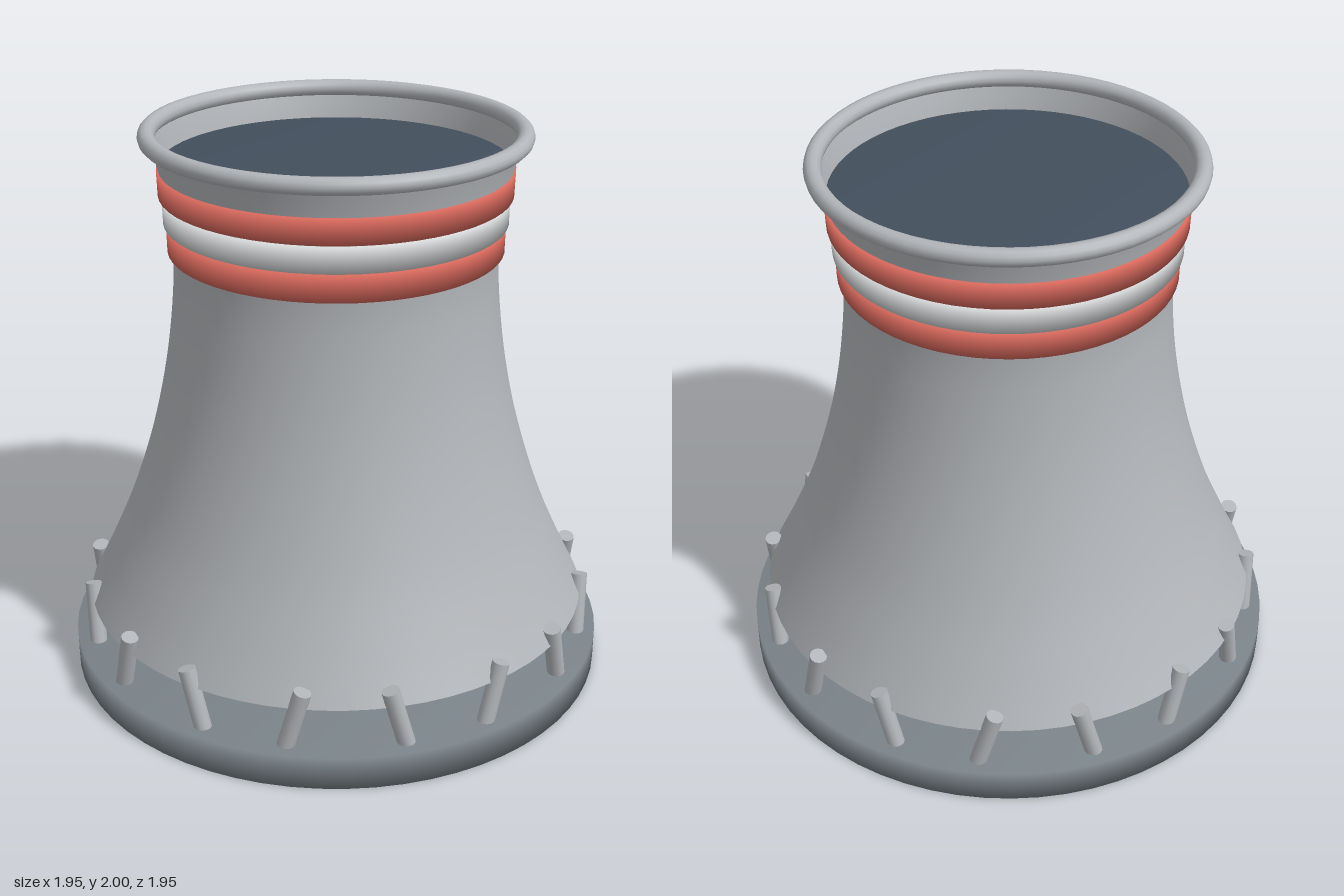
import * as THREE from 'three';
import { mergeVertices } from 'three/addons/utils/BufferGeometryUtils.js';

const mat = (name, color, side = THREE.FrontSide) => {
  const m = new THREE.MeshStandardMaterial({ color, side });
  m.name = name;
  return m;
};

// Solid cylinder whose normals run smoothly over its edges
function softCylinder(rTop, rBottom, height) {
  const g = new THREE.CylinderGeometry(rTop, rBottom, height, 64);
  g.deleteAttribute('normal');
  g.deleteAttribute('uv');
  const merged = mergeVertices(g, 1e-4);
  merged.computeVertexNormals();
  return merged;
}

export function createModel() {
  const group = new THREE.Group();
  group.name = 'coolingTower';

  const concrete = mat('concrete', 0xb2b5b9, THREE.DoubleSide);
  const foundation = mat('foundationGrey', 0x7a8389);
  const red = mat('bandRed', 0xdb6a5e);
  const white = mat('bandWhite', 0xd8dadb);
  const dark = mat('darkInterior', 0x434f5d);

  const add = (name, geometry, material, y = 0, parent = group) => {
    const mesh = new THREE.Mesh(geometry, material);
    mesh.name = name;
    mesh.position.y = y;
    parent.add(mesh);
    return mesh;
  };

  // Round foundation slab
  add('base', softCylinder(0.975, 0.975, 0.12), foundation, 0.06);

  // Waisted shell, open at both ends
  const profile = new THREE.SplineCurve([
    [0.912, 0.265], [0.845, 0.4], [0.757, 0.6], [0.688, 0.8], [0.634, 1.0],
    [0.595, 1.2], [0.571, 1.4], [0.565, 1.55], [0.577, 1.7], [0.605, 1.86], [0.63, 1.96],
  ].map(([r, y]) => new THREE.Vector2(r, y)));
  add('shell', new THREE.LatheGeometry(profile.getPoints(40), 64), concrete);

  // Rolled rim
  const rim = new THREE.TorusGeometry(0.64, 0.03, 12, 64).rotateX(Math.PI / 2);
  add('rim', rim, concrete, 1.97);

  // Painted bands around the neck
  add('upperBand', softCylinder(0.611, 0.608, 0.09), red, 1.813);
  add('middleBand', softCylinder(0.596, 0.594, 0.09), white, 1.715);
  add('lowerBand', softCylinder(0.585, 0.583, 0.095), red, 1.617);

  // Dark plug seen through the mouth
  add('darkOpening', softCylinder(0.603, 0.603, 0.02), dark, 1.855);

  // Ring of columns leaning alternately to either side
  const columns = new THREE.Group();
  columns.name = 'columns';
  const count = 16;
  for (let i = 0; i < count; i++) {
    const holder = new THREE.Group();
    holder.name = 'columnHolder';
    holder.rotation.y = (i / count) * Math.PI * 2;
    const column = add('column', new THREE.CylinderGeometry(0.031, 0.031, 0.245, 12), concrete, 0.21, holder);
    column.position.z = 0.905;
    column.rotation.z = i % 2 ? -0.27 : 0.27;
    columns.add(holder);
  }
  group.add(columns);

  return group;
}
